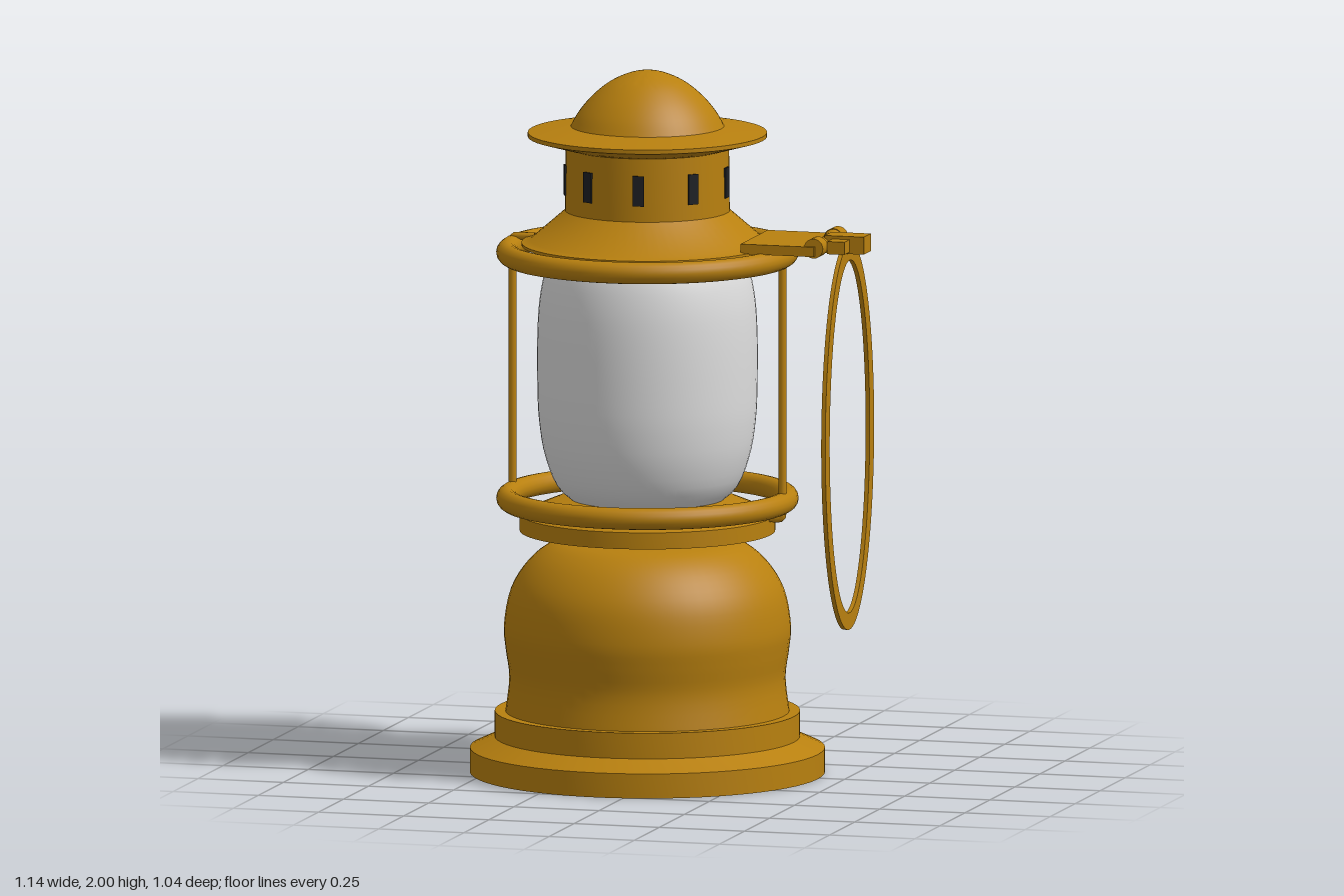
import * as THREE from 'three';
import { toCreasedNormals } from 'three/addons/utils/BufferGeometryUtils.js';

const V2 = (p) => new THREE.Vector2(p[0], p[1]);
const V3 = (x, y, z) => new THREE.Vector3(x, y, z);

function material(name, color) {
  const m = new THREE.MeshStandardMaterial({ color });
  m.name = name;
  return m;
}

export function createModel() {
  const brass = material('brass', 0xb8800f);
  const glassWhite = material('frosted glass', 0xdedede);
  const tan = material('tan knob', 0xc4a672);
  const black = material('black', 0x1e2024);

  const model = new THREE.Group();
  model.name = 'lantern';
  // The lamp body sits off centre because the handle hangs on its left
  const lamp = new THREE.Group();
  lamp.name = 'lamp';
  lamp.position.set(-0.073, 0, 0.018);
  model.add(lamp);

  const add = (name, geo, mat, x = 0, y = 0, z = 0, parent = lamp) => {
    const mesh = new THREE.Mesh(geo, mat);
    mesh.name = name;
    mesh.position.set(x, y, z);
    parent.add(mesh);
    return mesh;
  };
  const lathe = (name, points, mat) =>
    add(name, toCreasedNormals(new THREE.LatheGeometry(points.map(V2), 64), 0.45), mat);
  // Smooth curve through a few profile points
  const smooth = (pts, n) => new THREE.SplineCurve(pts.map(V2)).getPoints(n).map((p) => [Math.max(p.x, 0), p.y]);

  // Stepped foot
  lathe('base', [[0, 0], [0.5, 0], [0.5, 0.07], [0.43, 0.102], [0.43, 0.175], [0.38, 0.175]], brass);

  // Bulging fuel tank and collar
  lathe('fuelTank', [
    ...smooth([[0.4, 0.175], [0.389, 0.27], [0.399, 0.35], [0.404, 0.42], [0.385, 0.52], [0.335, 0.6], [0.27, 0.65], [0.2, 0.667]], 28),
    [0.2, 0.69],
  ], brass);
  lathe('collar', [[0.2, 0.688], [0.36, 0.688], [0.36, 0.735], [0.335, 0.745], [0.25, 0.78], [0, 0.78]], brass);

  // Glass globe
  lathe('globe', smooth([[0.18, 0.755], [0.25, 0.81], [0.288, 0.9], [0.305, 1.0], [0.31, 1.1], [0.31, 1.25],
    [0.302, 1.36], [0.28, 1.45], [0.235, 1.52], [0.15, 1.56], [0, 1.57]], 36), glassWhite);

  // Hood, vented chimney, brim and dome
  const hood = lathe('hood', [[0.22, 1.535], [0.335, 1.5], [0.355, 1.5], [0.355, 1.508], [0.33, 1.515], [0.232, 1.6], [0.23, 1.785]], brass);
  hood.material.side = THREE.DoubleSide;
  lathe('brim', [[0.2, 1.78], [0.23, 1.78], [0.337, 1.81], [0.337, 1.822], [0.215, 1.84], [0.18, 1.843]], brass);
  lathe('dome', smooth([[0.217, 1.838], [0.193, 1.88], [0.155, 1.925], [0.105, 1.965], [0.05, 1.99], [0, 2.0]], 20), brass);

  // Nine chimney vents
  for (let i = 0; i < 9; i++) {
    const a = Math.PI / 2 + (i * Math.PI * 2) / 9;
    const vent = add('vent', new THREE.BoxGeometry(0.032, 0.086, 0.009), black,
      Math.sin(a) * 0.231, 1.688, Math.cos(a) * 0.231);
    vent.rotation.y = a;
  }

  // Guard rings around the globe
  for (const [name, y] of [['lowerGuardRing', 0.78], ['upperGuardRing', 1.48]]) {
    add(name, new THREE.TorusGeometry(0.395, 0.031, 16, 72), brass, 0, y, 0).rotation.x = Math.PI / 2;
  }

  // Upright wires, bent inward at both ends
  for (const s of [-1, 1]) {
    const path = new THREE.CurvePath();
    const corners = [V3(s * 0.33, 0.737, 0), V3(s * 0.396, 0.737, 0), V3(s * 0.396, 1.51, 0), V3(s * 0.33, 1.51, 0)];
    const b = 0.012;
    const c1 = corners[1], c2 = corners[2];
    const p1 = V3(c1.x - s * b, c1.y, 0), p2 = V3(c1.x, c1.y + b, 0);
    const p3 = V3(c2.x, c2.y - b, 0), p4 = V3(c2.x - s * b, c2.y, 0);
    path.add(new THREE.LineCurve3(corners[0], p1));
    path.add(new THREE.QuadraticBezierCurve3(p1, c1, p2));
    path.add(new THREE.LineCurve3(p2, p3));
    path.add(new THREE.QuadraticBezierCurve3(p3, c2, p4));
    path.add(new THREE.LineCurve3(p4, corners[3]));
    add('uprightWire', new THREE.TubeGeometry(path, 120, 0.011, 10), brass);
  }

  // Handle hinge: plate, two knuckles with a waisted pin, and clasp
  const hinge = new THREE.Group();
  hinge.name = 'handleHinge';
  hinge.position.z = 0.016;
  model.add(hinge);
  add('hingePlate', new THREE.BoxGeometry(0.215, 0.028, 0.272), brass, 0.347, 1.522, 0, hinge);
  for (const s of [-1, 1]) {
    const knuckle = new THREE.CylinderGeometry(0.028, 0.028, 0.05, 20);
    add('hingeKnuckle', knuckle, brass, 0.45, 1.53, s * 0.1, hinge).rotation.x = Math.PI / 2;
  }
  const pin = smooth([[0.028, -0.08], [0.021, -0.055], [0.018, 0], [0.021, 0.055], [0.028, 0.08]], 12);
  add('hingePin', new THREE.LatheGeometry(pin.map(V2), 20), brass, 0.45, 1.53, 0, hinge).rotation.x = Math.PI / 2;
  add('hingeBlock', new THREE.BoxGeometry(0.05, 0.036, 0.17), brass, 0.504, 1.528, 0, hinge);
  add('hingeClasp', new THREE.BoxGeometry(0.115, 0.05, 0.07), brass, 0.514, 1.53, 0, hinge);

  // Flat oval handle
  const oval = new THREE.Shape().absellipse(0, 0, 0.244, 0.55, 0, Math.PI * 2);
  oval.holes.push(new THREE.Path().absellipse(0, 0, 0.2, 0.502, 0, Math.PI * 2, true));
  const handleGeo = new THREE.ExtrudeGeometry(oval, { depth: 0.012, bevelEnabled: false, curveSegments: 64 });
  handleGeo.translate(0, 0, -0.006);
  add('handle', toCreasedNormals(handleGeo, 0.6), brass, 0.514, 0.98, 0.016, model).rotation.y = Math.PI / 2;

  // Toothed wick knob on the back
  const knob = new THREE.Group();
  knob.name = 'wickKnob';
  knob.position.set(-0.073, 0.402, 0);
  model.add(knob);
  const teeth = 14;
  const gear = [];
  for (let i = 0; i < teeth; i++) {
    [[0, 0.082], [0.2, 0.093], [0.65, 0.093], [0.85, 0.082]].forEach(([f, r]) => {
      const a = ((i + f) / teeth) * Math.PI * 2;
      gear.push(V2([Math.cos(a) * r, Math.sin(a) * r]));
    });
  }
  const gearGeo = new THREE.ExtrudeGeometry(new THREE.Shape(gear), { depth: 0.05, bevelEnabled: false });
  add('knobWheel', gearGeo, tan, 0, 0, -0.506, knob);
  add('knobStem', new THREE.CylinderGeometry(0.025, 0.025, 0.1, 20), tan, 0, 0, -0.41, knob).rotation.x = Math.PI / 2;
  add('knobPin', new THREE.CylinderGeometry(0.012, 0.012, 0.03, 12), black, 0.043, 0, -0.509, knob).rotation.x = Math.PI / 2;

  return model;
}
